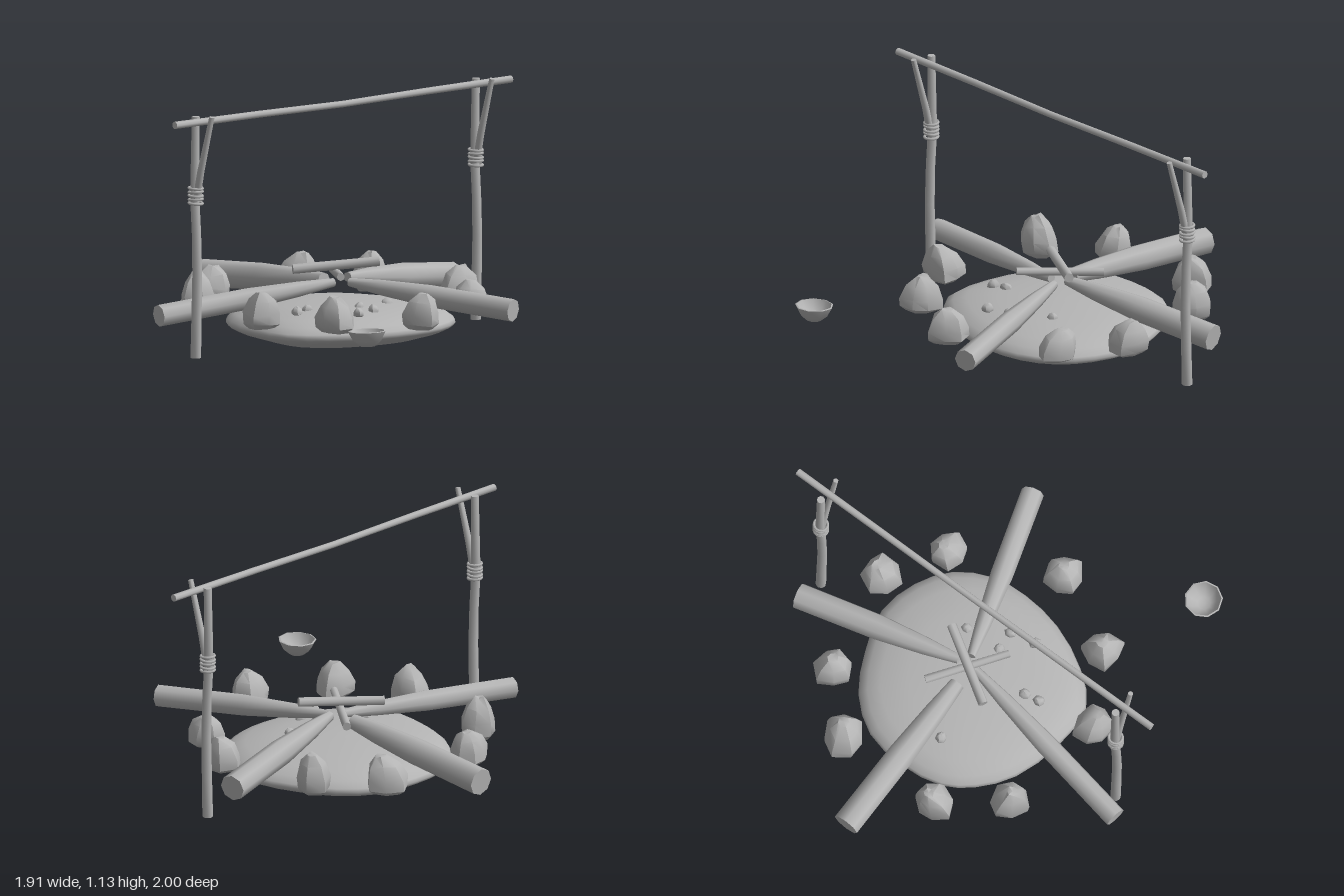
import * as THREE from 'three';
import { toCreasedNormals } from 'three/addons/utils/BufferGeometryUtils.js';

const gray = new THREE.MeshStandardMaterial({ color: 0xb4b4b4 });
gray.name = 'clay gray';
const V = (x, y, z) => new THREE.Vector3(x, y, z);

// Small seeded generator for the irregular stones
function seeded(seed) {
  let s = seed * 7919 + 17;
  return () => (s = (s * 16807) % 2147483647) / 2147483647;
}

// Skin over equal rings of points (counter-clockwise about the travel direction), capped at both ends
function loft(rings, crease = 0.7) {
  const n = rings[0].length, pos = [], index = [];
  const centre = (r) => r.reduce((a, p) => a.add(p), V(0, 0, 0)).divideScalar(n);
  const all = [...rings.flat(), centre(rings[0]), centre(rings[rings.length - 1])];
  all.forEach((p) => pos.push(p.x, p.y, p.z));
  const last = (rings.length - 1) * n, c0 = last + n;
  for (let j = 0; j < n; j++) {
    const k = (j + 1) % n;
    for (let i = 0; i < last; i += n) {
      index.push(i + j, i + k, i + n + j, i + k, i + n + k, i + n + j);
    }
    index.push(c0, k, j, c0 + 1, last + j, last + k);
  }
  const g = new THREE.BufferGeometry();
  g.setAttribute('position', new THREE.Float32BufferAttribute(pos, 3));
  g.setIndex(index);
  return toCreasedNormals(g, crease);
}

// Wooden rod through centre points with a radius at each
function rod(points, radii, sides = 8) {
  const dir = points[points.length - 1].clone().sub(points[0]).normalize();
  const ref = Math.abs(dir.y) > 0.9 ? V(1, 0, 0) : V(0, 1, 0);
  const u = ref.clone().cross(dir).normalize(), v = dir.clone().cross(u);
  return loft(points.map((p, i) => Array.from({ length: sides }, (_, j) => {
    const a = (j / sides) * Math.PI * 2;
    return p.clone().addScaledVector(u, Math.cos(a) * radii[i]).addScaledVector(v, Math.sin(a) * radii[i]);
  })), 0.9);
}

// Irregular stone: stacked jittered rings, flat below and peaked above
function stone(seed, radius, height) {
  const rnd = seeded(seed), n = 7, turn = rnd() * 6;
  const lobes = Array.from({ length: n }, () => 0.84 + rnd() * 0.28);
  const lx = (rnd() - 0.5) * radius * 0.6, lz = (rnd() - 0.5) * radius * 0.6;
  const profile = [[0.7, 0], [0.98, 0.12], [1, 0.4], [0.75, 0.75], [0.28, 0.98]];
  return loft(profile.map(([r, h]) => lobes.map((l, j) => {
    const a = turn + (j / n) * Math.PI * 2, q = radius * r * (l + (rnd() - 0.5) * 0.1);
    return V(Math.cos(a) * q + lx * h * h, height * (h + (h > 0 ? (rnd() - 0.5) * 0.08 : 0)), -Math.sin(a) * q + lz * h * h);
  })), 0.75);
}

export function createModel() {
  const model = new THREE.Group();
  model.name = 'campfire';
  const add = (parent, name, geometry, x = 0, y = 0, z = 0) => {
    const m = new THREE.Mesh(geometry, gray);
    m.name = name;
    m.position.set(x, y, z);
    parent.add(m);
    return m;
  };

  // Ground mound: one outline scaled through a lens-shaped section
  const outline = new THREE.CatmullRomCurve3([
    [0.43, -0.05], [0.41, -0.22], [0.32, -0.38], [0.17, -0.48], [-0.02, -0.52], [-0.22, -0.46],
    [-0.4, -0.36], [-0.52, -0.2], [-0.55, 0], [-0.52, 0.2], [-0.43, 0.33], [-0.28, 0.44],
    [-0.05, 0.5], [0.17, 0.49], [0.3, 0.36], [0.4, 0.15],
  ].map(([x, z]) => V(x, 0, z)), true).getPoints(32).slice(0, 32);
  const section = [[0.1, 0], [0.4, 0.01], [0.7, 0.035], [0.9, 0.065], [0.98, 0.085], [1, 0.1],
    [0.985, 0.115], [0.92, 0.14], [0.8, 0.163], [0.55, 0.185], [0.25, 0.197], [0.05, 0.2]];
  add(model, 'groundMound', loft(section.map(([s, y]) =>
    outline.map((p) => V(-0.05 + (p.x + 0.05) * s, y, p.z * s))), 1.2));

  // Four tapered logs meeting at the middle
  const logs = [
    [V(-0.96, 0.21, 0), V(-0.14, 0.275, 0), 0.063, 0.035],
    [V(0.805, 0.22, -0.3), V(0, 0.28, -0.03), 0.052, 0.02],
    [V(-0.22, 0.2, -0.835), V(-0.05, 0.295, -0.06), 0.061, 0.022],
    [V(-0.195, 0.205, 0.935), V(-0.04, 0.28, 0.03), 0.05, 0.02],
  ];
  for (const [a, b, r0, r1] of logs) {
    add(model, 'log', rod([a, a.clone().lerp(b, 0.5), a.clone().lerp(b, 0.8), b], [r0, r0 * 0.98, (r0 + r1) / 2, r1]));
  }

  // Kindling crossed on top
  add(model, 'kindling', rod([V(-0.22, 0.305, -0.12), V(0.1, 0.33, 0.11)], [0.02, 0.018]));
  add(model, 'kindling', rod([V(-0.165, 0.34, 0.165), V(0.04, 0.365, -0.17)], [0.022, 0.022]));

  // Ring of stones: x, z, height
  [[-0.4, -0.5, 0.18], [-0.63, -0.27, 0.17], [-0.63, 0.245, 0.16], [-0.42, 0.5, 0.19], [0.09, 0.585, 0.17],
    [0.41, 0.4, 0.16], [0.58, 0.05, 0.16], [0.37, -0.435, 0.14], [0.09, -0.6, 0.16]]
    .forEach(([x, z, h], i) => add(model, 'ringStone', stone(i + 3, 0.09, h), x, 0.148, z));

  // Pebbles scattered on the mound
  [[0.12, -0.145], [0.13, 0.03], [0.225, 0.02], [0.25, 0.135], [0.03, 0.25], [0.045, 0.32], [-0.36, 0.08]]
    .forEach(([x, z], i) => add(model, 'pebble', stone(i + 40, 0.027, 0.04), x, 0.172, z));

  // Forked posts with rope lashing
  for (const z of [0.833, -0.833]) {
    const post = new THREE.Group();
    post.name = 'forkedPost';
    post.position.z = z;
    add(post, 'postStem', rod([V(-0.06, 0.02, 0), V(-0.055, 0.2, 0), V(-0.05, 0.4, 0), V(-0.055, 0.58, 0),
      V(-0.067, 0.75, 0), V(-0.06, 1.115, 0)], [0.024, 0.023, 0.022, 0.021, 0.021, 0.018]));
    add(post, 'postBranch', rod([V(-0.055, 0.74, 0), V(-0.025, 0.87, 0), V(0.05, 1.125, 0)], [0.017, 0.016, 0.012]));
    for (let i = 0; i < 5; i++) {
      const ring = add(post, 'ropeCoil', new THREE.TorusGeometry(0.031, 0.0065, 6, 16), -0.06, 0.722 + i * 0.017, 0);
      ring.rotation.set(Math.PI / 2, i % 2 ? 0.08 : -0.06, 0);
    }
    model.add(post);
  }

  // Crossbar with a slight sag
  add(model, 'crossbar', rod([V(-0.012, 1.098, -1), V(-0.012, 1.096, -0.5), V(-0.012, 1.09, 0),
    V(-0.012, 1.096, 0.5), V(-0.012, 1.098, 1)], [0.017, 0.016, 0.015, 0.016, 0.017]));

  // Small bowl beside the fire
  const bowlProfile = [[0.001, 0], [0.035, 0.004], [0.065, 0.03], [0.087, 0.072], [0.08, 0.074],
    [0.058, 0.035], [0.03, 0.014], [0.001, 0.01]].map(([x, y]) => new THREE.Vector2(x, y));
  const bowl = add(model, 'bowl', toCreasedNormals(new THREE.LatheGeometry(bowlProfile, 9), 0.7), 0.867, 0.158, 0.62);
  bowl.rotation.z = 0.04;
  return model;
}
